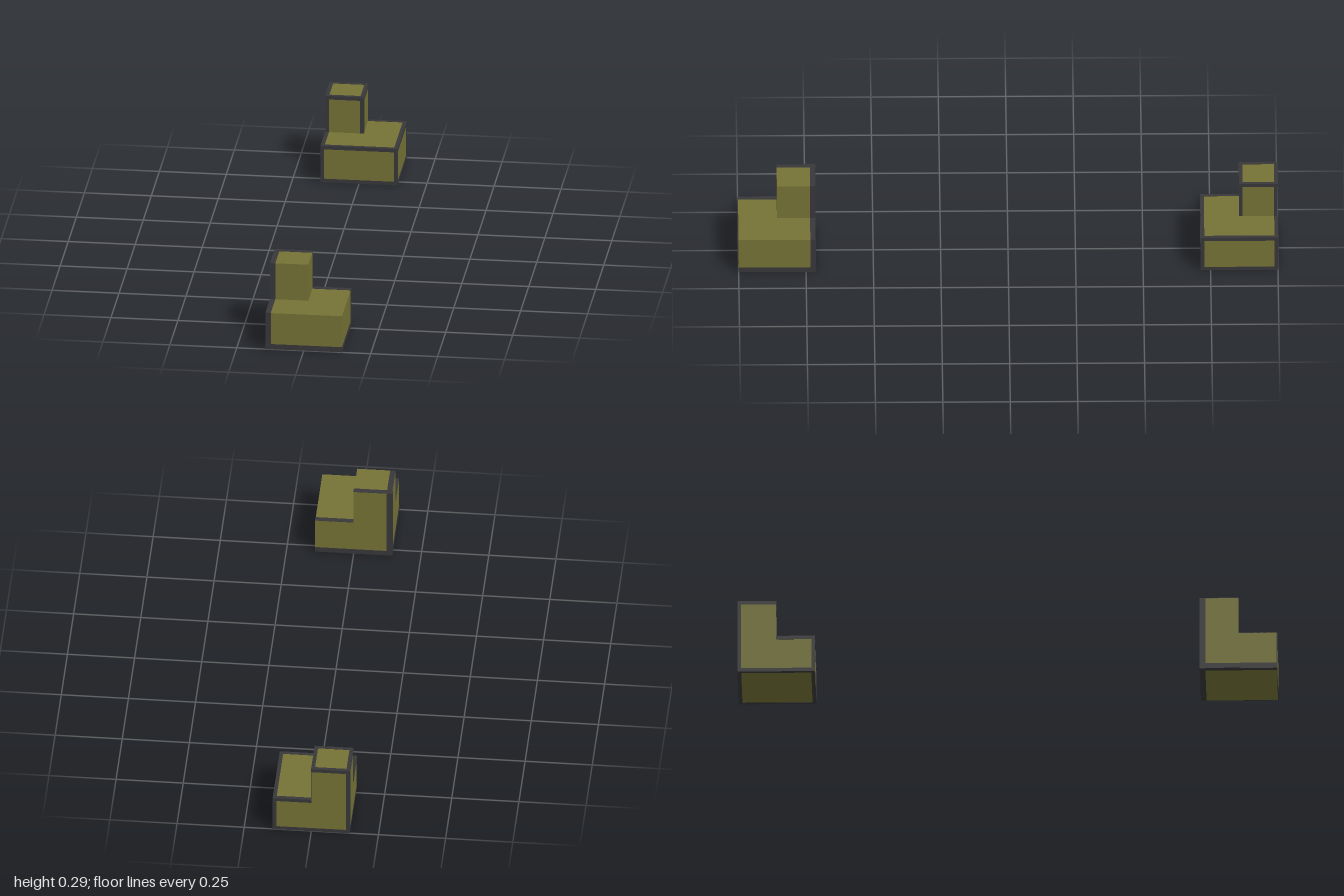
import * as THREE from 'three';

const olive = new THREE.MeshStandardMaterial({ color: 0x757335 });
olive.name = 'olive';
const charcoal = new THREE.MeshStandardMaterial({ color: 0x38383a });
charcoal.name = 'charcoal';

const S = 0.143;   // half the width of a block, and the step height
const H = 0.286;   // full height and width
const E = 0.001;   // how far trim stands proud

// Box between two corners
function box(parent, name, material, x0, x1, y0, y1, z0, z1) {
  const mesh = new THREE.Mesh(new THREE.BoxGeometry(x1 - x0, y1 - y0, z1 - z0), material);
  mesh.position.set((x0 + x1) / 2, (y0 + y1) / 2, (z0 + z1) / 2);
  mesh.name = name;
  parent.add(mesh);
}

// Stepped block: square base with a post on its back right corner.
// Local z runs from 0 (back) to H (front).
function steppedBlock(name, z) {
  const block = new THREE.Group();
  block.name = name;
  block.position.z = z;
  box(block, 'base', olive, -S, S, 0, S, 0, H);
  box(block, 'post', olive, -S, 0, S, H, 0, S);
  return block;
}

// Thin trim plate lying on a plane; u and v are the other two axes in x, y, z order
function plate(parent, axis, at, u0, u1, v0, v1) {
  const a = at - E, b = at + E;
  if (axis === 'x') box(parent, 'trim', charcoal, a, b, u0, u1, v0, v1);
  if (axis === 'y') box(parent, 'trim', charcoal, u0, u1, a, b, v0, v1);
  if (axis === 'z') box(parent, 'trim', charcoal, u0, u1, v0, v1, a, b);
}

// Shaded borders along the bottom, back and one side of the front block
function addBorders(b) {
  const w = 0.02;
  // front faces
  plate(b, 'z', H, -S, S, 0, w);
  plate(b, 'z', H, -S, -S + w, w, S);
  plate(b, 'z', S, -S, -S + w, S, H);
  // +x faces
  plate(b, 'x', S, 0, w, 0, H);
  plate(b, 'x', S, w, S, 0, w);
  plate(b, 'x', 0, S, H, 0, w);
  // back face
  plate(b, 'z', 0, -S, S, 0, w);
  plate(b, 'z', 0, -S, -S + w, w, H);
  // -x face
  plate(b, 'x', -S, 0, w, 0, H);
  plate(b, 'x', -S, w, H, 0, w);
  // tops
  plate(b, 'y', H, -S, -S + w, 0, S);
  plate(b, 'y', H, -S + w, 0, 0, w);
  plate(b, 'y', S, -S, -S + w, S, H);
  plate(b, 'y', S, 0, S, 0, w);
  // underside
  plate(b, 'y', 0, -S, -S + w, 0, H);
  plate(b, 'y', 0, -S + w, S, 0, w);
}

// Dark bars along every outer edge of the back block
function addOutline(b) {
  const w = 0.013;
  const bar = (...c) => box(b, 'edgeBar', charcoal, ...c);
  const L = [-S - E, -S + w], R = [S - w, S + E];
  const K = [-E, w], F = [H - w, H + E];
  const low = [-E, w], step = [S - w, S + E], top = [H - w, H + E];
  // bottom edges
  for (const z of [K, F]) bar(-S, S, ...low, ...z);
  for (const x of [L, R]) bar(...x, ...low, 0, H);
  // base uprights
  for (const x of [L, R]) bar(...x, 0, S, ...F);
  bar(...R, 0, S, ...K);
  // base top edges
  bar(-S, S, ...step, ...F);
  bar(...R, ...step, 0, H);
  bar(...L, ...step, S, H);
  bar(0, S, ...step, ...K);
  // post uprights
  bar(...L, 0, H, ...K);
  bar(-w, E, S, H, S - w, S + E);
  plate(b, 'x', 0, S, H, 0, w);
  plate(b, 'z', S, -S, -S + w, S, H);
  // post top edges
  bar(-S, 0, ...top, ...K);
  bar(-S, 0, ...top, S - w, S + E);
  bar(...L, ...top, 0, S);
  bar(-w, E, ...top, 0, S);
}

export function createModel() {
  const model = new THREE.Group();
  model.name = 'steppedBlocks';
  const front = steppedBlock('frontBlock', 1 - H);
  addBorders(front);
  const back = steppedBlock('backBlock', -1);
  addOutline(back);
  model.add(front, back);
  return model;
}
